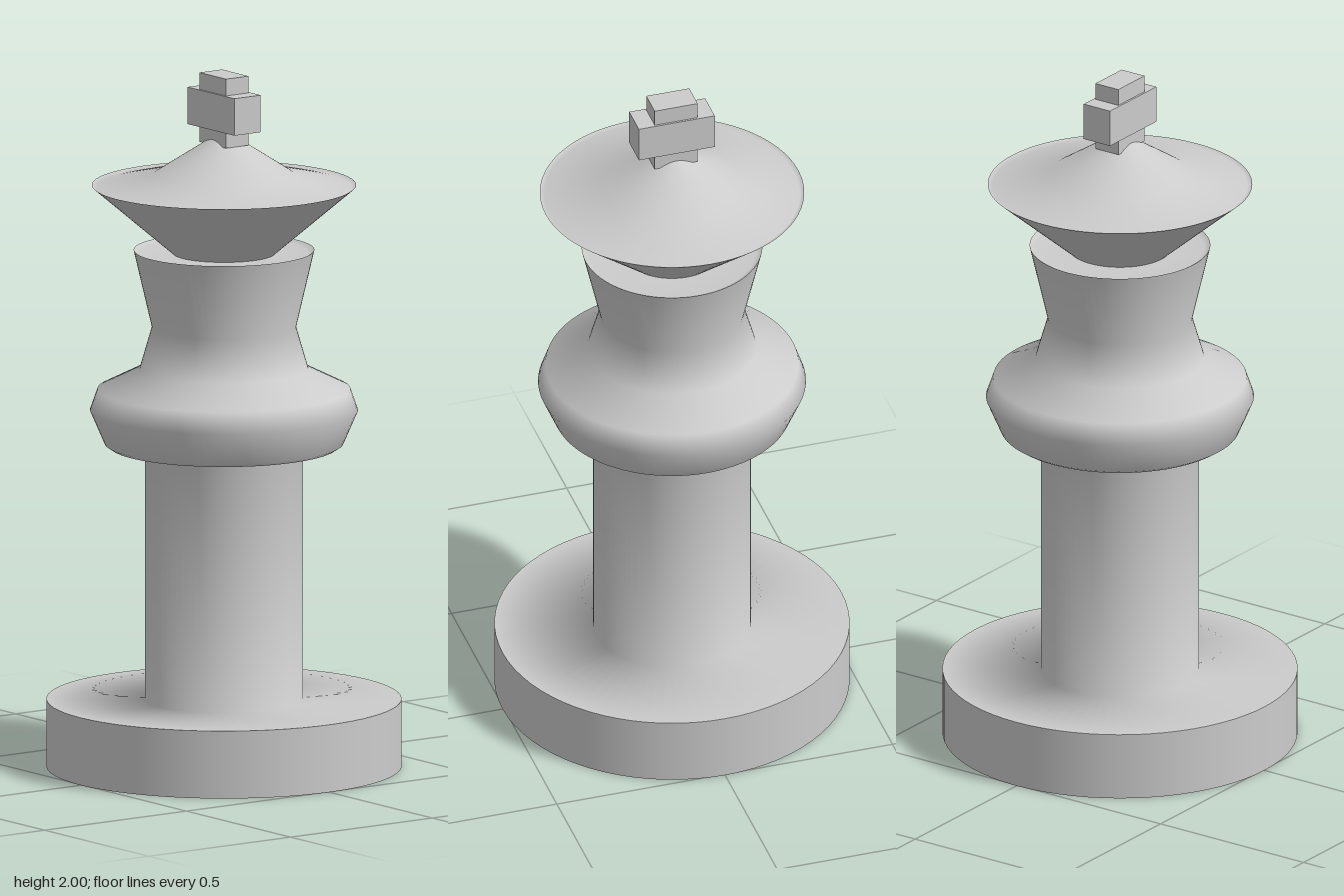
import * as THREE from 'three';

const material = new THREE.MeshStandardMaterial({ color: 0xcccccc, side: THREE.DoubleSide });

// Turned part: profile of [radius, height] pairs from bottom to top
function turned(name, profile) {
  const points = profile.map(([r, y]) => new THREE.Vector2(r, y));
  const mesh = new THREE.Mesh(new THREE.LatheGeometry(points, 72), material);
  mesh.name = name;
  return mesh;
}

function block(name, w, h, d, y) {
  const mesh = new THREE.Mesh(new THREE.BoxGeometry(w, h, d), material);
  mesh.name = name;
  mesh.position.y = y;
  return mesh;
}

export function createModel() {
  const piece = new THREE.Group();
  piece.name = 'chessKing';

  // Round foot: flat underside and straight wall
  piece.add(turned('footUnderside', [[0, 0], [0.505, 0]]));
  piece.add(turned('footWall', [[0.505, 0], [0.505, 0.195]]));

  // Foot top flowing into the column and the underside of the collar
  piece.add(turned('column', [
    [0.505, 0.195], [0.225, 0.195], [0.225, 0.925], [0.325, 0.925],
  ]));

  // Bulging collar and waisted neck
  piece.add(turned('collarAndNeck', [
    [0.325, 0.925], [0.34, 0.935], [0.381, 1.03], [0.36, 1.09],
    [0.24, 1.15], [0.205, 1.27], [0.257, 1.493],
  ]));

  // Neck top with a slight lip
  piece.add(turned('neckTop', [[0.257, 1.493], [0.24, 1.483], [0.145, 1.483]]));

  // Flared crown, its lip and the domed cap
  piece.add(turned('crownFlare', [[0.145, 1.483], [0.165, 1.5], [0.376, 1.68]]));
  piece.add(turned('crownCap', [
    [0.376, 1.68], [0.363, 1.674], [0.2, 1.712], [0.04, 1.815], [0, 1.825],
  ]));

  // Finial cross, its arms running front to back
  const finial = new THREE.Group();
  finial.name = 'finialCross';
  finial.add(block('crossStem', 0.08, 0.2, 0.128, 1.9));
  finial.add(block('crossArms', 0.092, 0.107, 0.226, 1.898));
  piece.add(finial);

  return piece;
}
